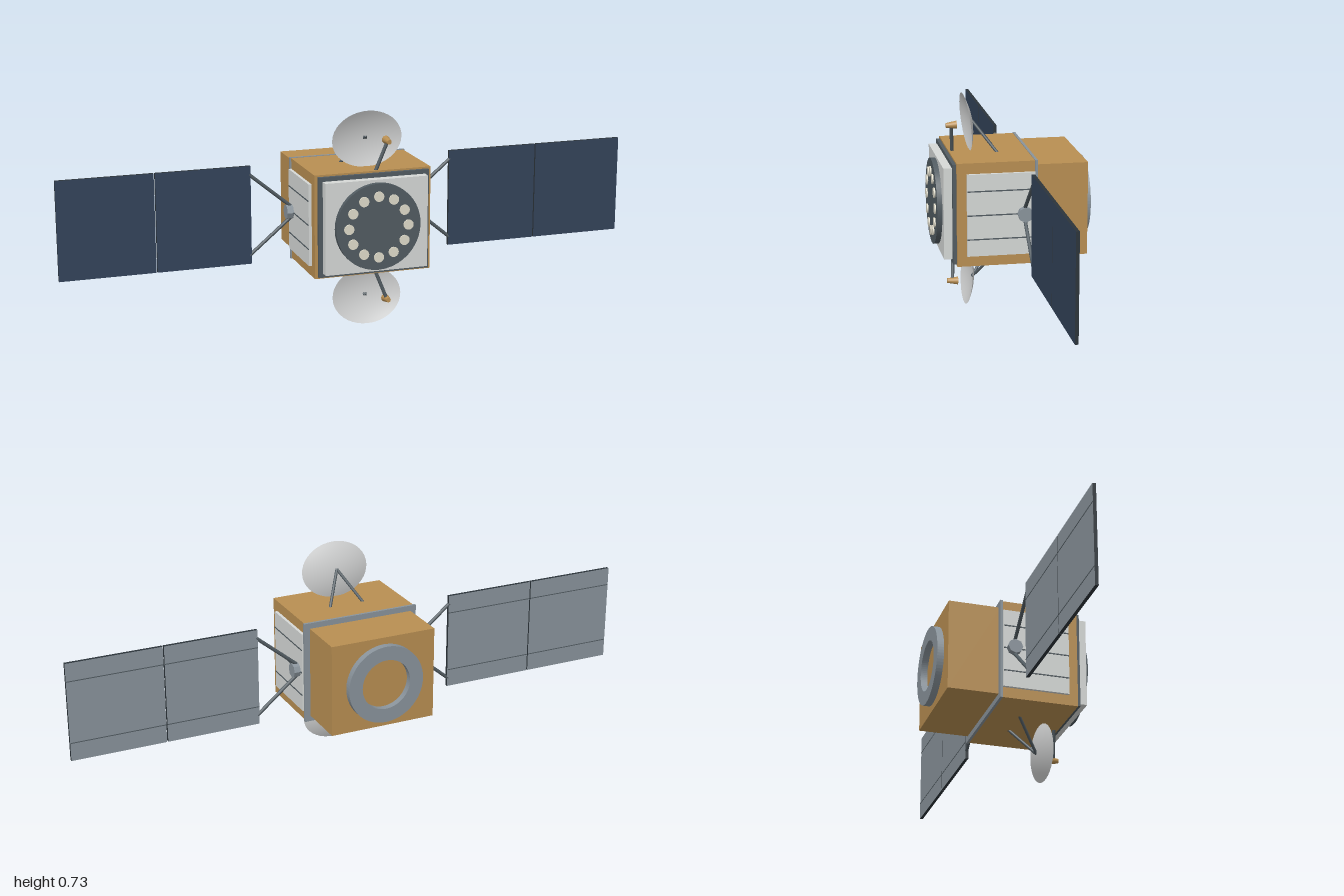
import * as THREE from 'three';

const CY = 0.372; // height of the central axis
const mat = (name, color, side = THREE.FrontSide) => {
  const m = new THREE.MeshStandardMaterial({ color, side });
  m.name = name;
  return m;
};
const M = {
  gold: mat('gold foil', 0xb98f52),
  white: mat('white panel', 0xd6d9d7),
  dark: mat('dark metal', 0x525c62),
  grey: mat('grey metal', 0x8a949c),
  navy: mat('solar cell blue', 0x33435a),
  edge: mat('panel edge', 0x2c343a),
  dish: mat('dish grey', 0xd2d3d3, THREE.DoubleSide),
  cream: mat('cream element', 0xe0dccb),
};

export function createModel() {
  const model = new THREE.Group();
  model.name = 'satellite';

  const add = (parent, name, geo, material, x = 0, y = 0, z = 0) => {
    const mesh = new THREE.Mesh(geo, material);
    mesh.name = name;
    mesh.position.set(x, y, z);
    parent.add(mesh);
    return mesh;
  };
  // Box from centre, half width, half height and a z range
  const slab = (name, material, hw, hh, z0, z1) =>
    add(model, name, new THREE.BoxGeometry(2 * hw, 2 * hh, z1 - z0), material, 0, CY, (z0 + z1) / 2);
  // Cylinder whose axis runs along z
  const disc = (name, material, r, z0, z1, x = 0, y = CY, seg = 40) =>
    add(model, name, new THREE.CylinderGeometry(r, r, z1 - z0, seg).rotateX(Math.PI / 2),
      material, x, y, (z0 + z1) / 2);
  // Round bar between two points
  const bar = (parent, name, material, a, b, r0, r1 = r0) => {
    const p = new THREE.Vector3(...a), q = new THREE.Vector3(...b);
    const d = q.clone().sub(p);
    const m = add(parent, name, new THREE.CylinderGeometry(r1, r0, d.length(), 12), material);
    m.position.copy(p).add(q).multiplyScalar(0.5);
    m.quaternion.setFromUnitVectors(new THREE.Vector3(0, 1, 0), d.normalize());
    return m;
  };

  // Body
  slab('frontBody', M.gold, 0.2, 0.174, -0.06, 0.2);
  slab('flange', M.grey, 0.205, 0.176, -0.067, -0.058);
  slab('rearBody', M.gold, 0.185, 0.157, -0.238, -0.06);
  slab('frontBezel', M.dark, 0.19, 0.168, 0.2, 0.212);
  slab('frontPlate', M.white, 0.176, 0.154, 0.212, 0.24);

  // Front antenna array
  disc('arrayDisc', M.dark, 0.145, 0.24, 0.257);
  for (let i = 0; i < 12; i++) {
    const a = (i / 12) * Math.PI * 2;
    disc('arrayElement', M.cream, 0.017, 0.256, 0.262, 0.102 * Math.sin(a), CY + 0.102 * Math.cos(a), 16);
  }

  // Open ring at the rear
  const ringShape = new THREE.Shape().absarc(0, 0, 0.134, 0, Math.PI * 2);
  ringShape.holes.push(new THREE.Path().absarc(0, 0, 0.086, 0, Math.PI * 2, true));
  add(model, 'rearRing', new THREE.ExtrudeGeometry(ringShape, { depth: 0.023, bevelEnabled: false, curveSegments: 40 }),
    M.grey, 0, CY, -0.261);

  // Solar wings with side radiators
  for (const s of [1, -1]) {
    const wing = new THREE.Group();
    wing.name = s > 0 ? 'leftWing' : 'rightWing';
    model.add(wing);

    add(wing, 'radiator', new THREE.BoxGeometry(0.012, 0.276, 0.226), M.white, s * 0.204, CY, 0.055);
    for (const dy of [-0.081, 0, 0.081])
      add(wing, 'radiatorSeam', new THREE.BoxGeometry(0.002, 0.004, 0.224), M.dark, s * 0.2105, CY + dy, 0.055);

    const hub = new THREE.CylinderGeometry(0.025, 0.025, 0.034, 8).toNonIndexed();
    hub.computeVertexNormals();
    hub.rotateZ(Math.PI / 2);
    add(wing, 'hub', hub, M.grey, s * 0.215, CY, -0.022);

    for (const t of [1, -1])
      bar(wing, 'wingStrut', M.dark, [s * 0.215, CY + t * 0.02, -0.022], [s * 0.358, CY + t * 0.139, -0.022], 0.006);

    // Cells on the front, grey on the back, dark edges
    for (const x of [0.5135, 0.8385]) {
      const sides = [M.edge, M.edge, M.edge, M.edge, M.navy, M.grey];
      add(wing, 'solarPanel', new THREE.BoxGeometry(0.321, 0.336, 0.011), sides, s * x, CY, -0.022);
      for (const t of [1, -1])
        add(wing, 'backRib', new THREE.BoxGeometry(0.32, 0.003, 0.001), M.dark, s * x, CY + t * 0.106, -0.028);
    }
  }

  // Oval dishes above and below, each with legs and a feed horn
  for (const t of [1, -1]) {
    const g = new THREE.Group();
    g.name = t > 0 ? 'upperDish' : 'lowerDish';
    model.add(g);
    const y = (dy) => CY + t * dy;

    const profile = [];
    for (let i = 0; i <= 10; i++) profile.push(new THREE.Vector2(i / 10, 0.02 * (i / 10) ** 2));
    const bowl = new THREE.LatheGeometry(profile, 40).rotateX(Math.PI / 2).scale(0.12, 0.096, 1);
    const dish = add(g, 'reflector', bowl, M.dish, 0, y(0.27), 0.119);
    dish.rotation.x = t * 0.104;

    for (const s of [1, -1])
      bar(g, 'dishLeg', M.dark, [s * 0.063, y(0.168), 0.04], [0, y(0.273), 0.12], 0.005);
    bar(g, 'feedArm', M.dark, [0.012, y(0.168), 0.187], [0.05, y(0.266), 0.195], 0.006);
    bar(g, 'feedHorn', M.gold, [0.051, y(0.27), 0.177], [0.051, y(0.268), 0.213], 0.0135, 0.008);
  }

  return model;
}
